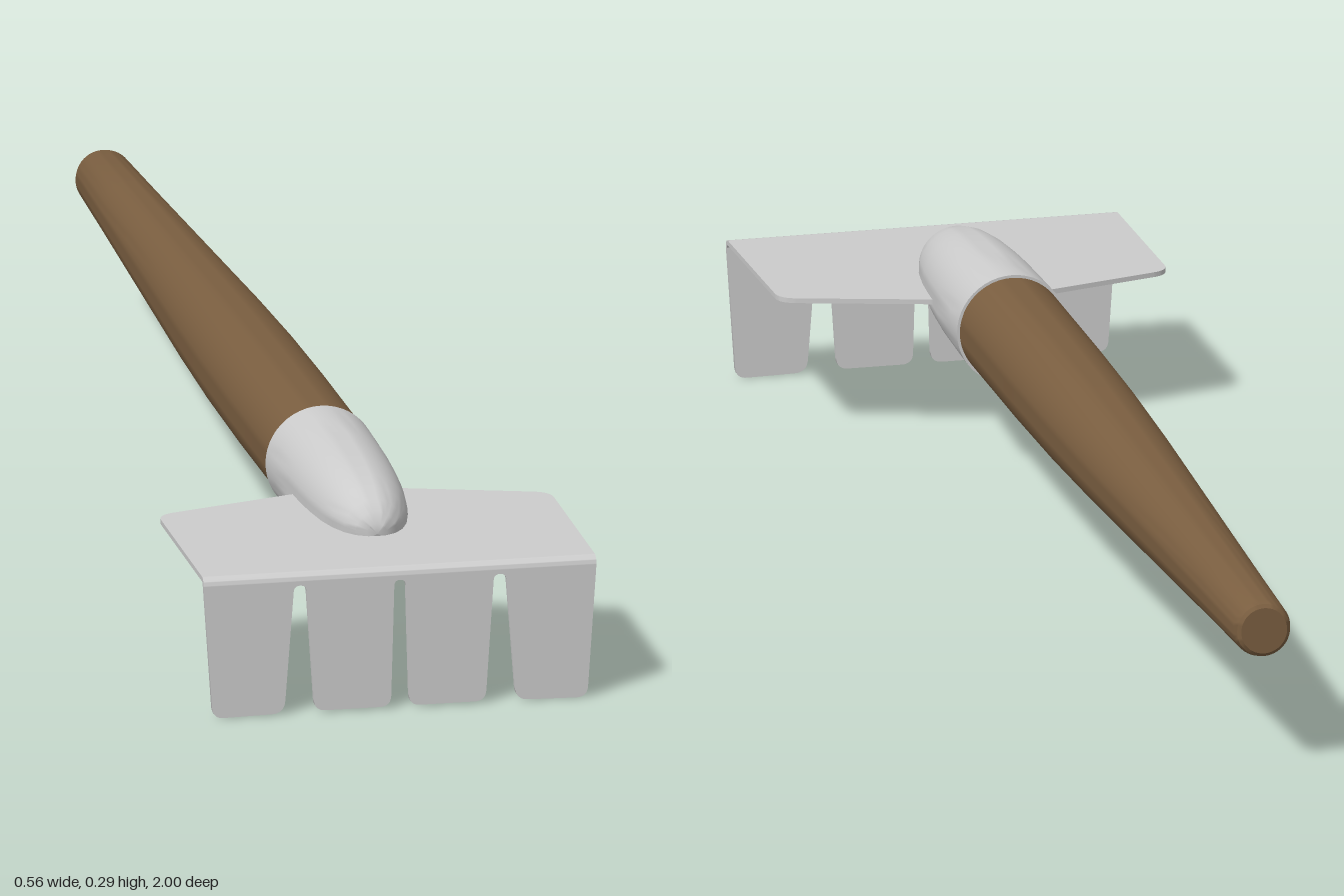
import * as THREE from 'three';
import { toCreasedNormals } from 'three/addons/utils/BufferGeometryUtils.js';

const AXIS_Y = 0.212, SHEET = 0.007, HALF_W = 0.28, FOLD_R = 0.012;

// Closed shape from corners [x, y, radius], each corner rounded
function roundedShape(corners) {
  const shape = new THREE.Shape();
  const n = corners.length;
  corners.forEach(([x, y, r], i) => {
    const p = new THREE.Vector2(x, y);
    const toward = (c) => {
      const d = new THREE.Vector2(c[0], c[1]).sub(p);
      return p.clone().addScaledVector(d.clone().normalize(), Math.min(r, d.length() * 0.49));
    };
    const a = toward(corners[(i + n - 1) % n]);
    const b = toward(corners[(i + 1) % n]);
    if (i === 0) shape.moveTo(a.x, a.y);
    else shape.lineTo(a.x, a.y);
    shape.quadraticCurveTo(x, y, b.x, b.y);
  });
  shape.closePath();
  return shape;
}

function extrude(shape, depth) {
  return new THREE.ExtrudeGeometry(shape, { depth, bevelEnabled: false, curveSegments: 8 });
}

// Turned part along z from [radius, z] points, listed from back to front
function turned(points) {
  const profile = points.map(([r, z]) => new THREE.Vector2(r, z));
  return new THREE.LatheGeometry(profile, 48).rotateX(Math.PI / 2);
}

export function createModel() {
  const group = new THREE.Group();
  const metal = new THREE.MeshStandardMaterial({ color: 0xcccccc });
  const wood = new THREE.MeshStandardMaterial({ color: 0x7a5e40 });
  const add = (name, geometry, material) => {
    const mesh = new THREE.Mesh(toCreasedNormals(geometry, 0.6), material);
    mesh.name = name;
    group.add(mesh);
    return mesh;
  };

  // Tapered wooden handle
  const handle = turned([
    [0, -1], [0.033, -1], [0.038, -0.996], [0.041, -0.985], [0.047, -0.8], [0.054, -0.6],
    [0.061, -0.4], [0.068, -0.2], [0.073, 0], [0.075, 0.2], [0.075, 0.49], [0, 0.49],
  ]);
  add('handle', handle, wood).position.y = AXIS_Y;

  // Metal socket with a blunt nose, slimmer underneath
  const socket = turned([
    [0.073, 0.468], [0.079, 0.468], [0.078, 0.52], [0.076, 0.6], [0.073, 0.66], [0.069, 0.71],
    [0.062, 0.76], [0.053, 0.795], [0.042, 0.82], [0.029, 0.837], [0.014, 0.846], [0, 0.848],
  ]);
  const sp = socket.attributes.position;
  for (let i = 0; i < sp.count; i++) {
    if (sp.getY(i) < 0) {
      sp.setY(i, sp.getY(i) * (1 - 0.35 * THREE.MathUtils.smoothstep(sp.getZ(i), 0.62, 0.85)));
    }
  }
  add('socket', socket, metal).position.y = AXIS_Y;

  // Top plate, rising slightly toward the handle
  const foldZ = 1 - FOLD_R, plateTop = 0.206;
  const plate = extrude(roundedShape([
    [-HALF_W, foldZ, 0], [-HALF_W, 0.69, 0.025], [-0.07, 0.628, 0.01],
    [0.07, 0.628, 0.01], [HALF_W, 0.69, 0.025], [HALF_W, foldZ, 0],
  ]), SHEET).rotateX(Math.PI / 2);
  const pp = plate.attributes.position;
  for (let i = 0; i < pp.count; i++) {
    pp.setY(i, pp.getY(i) + plateTop + (foldZ - pp.getZ(i)) * 0.018);
  }
  add('topPlate', plate, metal);

  // Rounded fold between plate and tines
  const ring = new THREE.Shape();
  ring.absarc(0, 0, FOLD_R, 0, Math.PI / 2, false);
  ring.absarc(0, 0, FOLD_R - SHEET, Math.PI / 2, 0, true);
  const fold = extrude(ring, HALF_W * 2).rotateY(-Math.PI / 2);
  fold.translate(HALF_W, plateTop - FOLD_R, foldZ);
  add('fold', fold, metal);

  // Four broad tines cut from one sheet; right half is mirrored from the left
  const topY = plateTop - FOLD_R, slotY = 0.188;
  const half = [
    [HALF_W, topY, 0], [0.267, 0.002, 0.016], [0.165, 0.004, 0.018], [0.151, slotY, 0.009],
    [0.134, slotY, 0.009], [0.122, 0.005, 0.016], [0.013, 0.005, 0.016], [0.008, slotY, 0.009],
  ];
  const mirrored = half.map(([x, y, r]) => [-x, y, r]).reverse();
  const tines = extrude(roundedShape([...half, ...mirrored]), SHEET);
  tines.translate(0, 0, 1 - SHEET);
  add('tines', tines, metal);

  return group;
}
